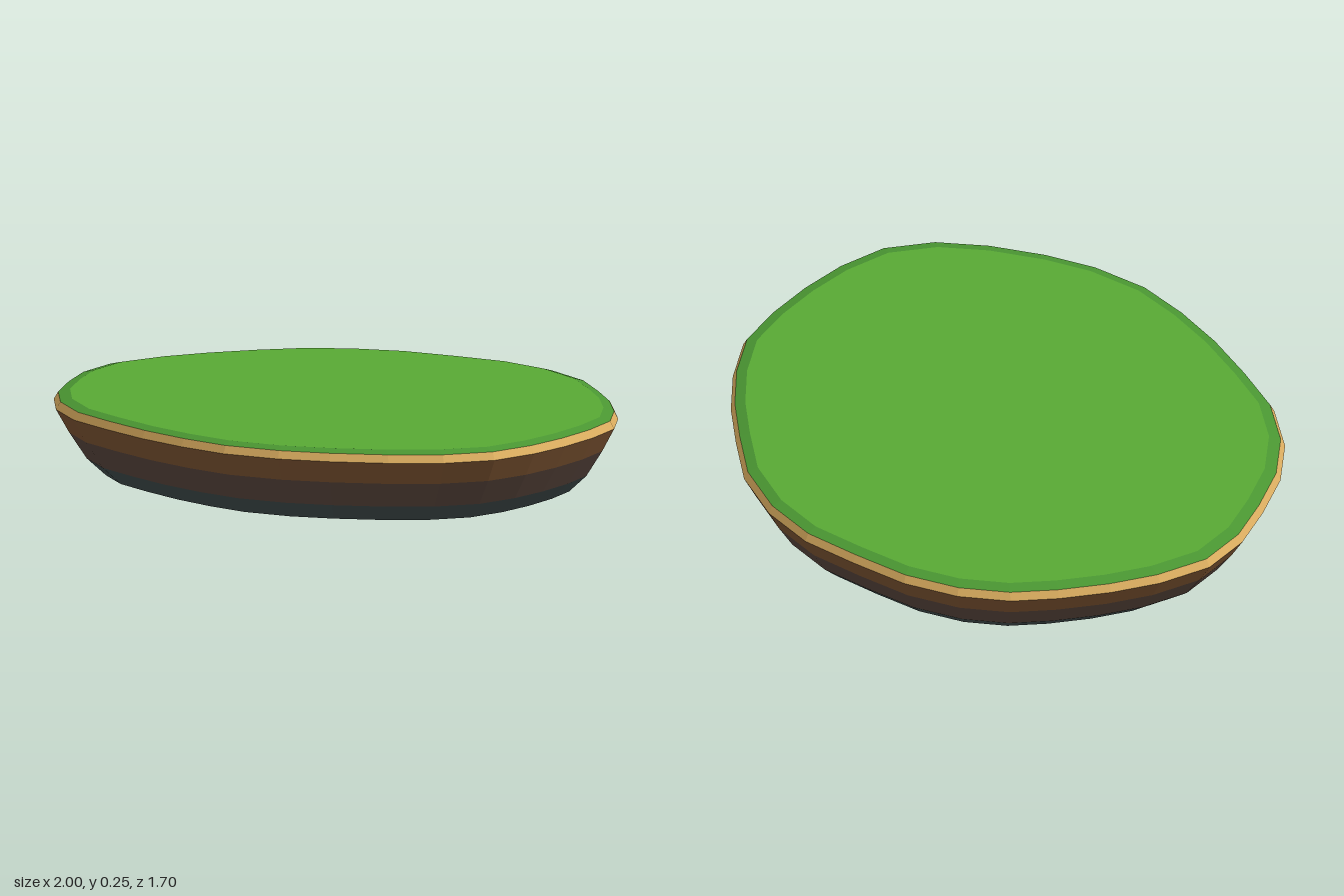
import * as THREE from 'three';

// Shoreline [x, z], clockwise seen from above, starting at the back
const OUTLINE = [
  [-0.01, -0.85], [0.19, -0.82], [0.37, -0.74], [0.53, -0.66],
  [0.68, -0.56], [0.81, -0.44], [0.89, -0.29], [0.95, -0.13],
  [0.99, 0.03], [1.0, 0.2], [0.94, 0.36], [0.83, 0.5],
  [0.69, 0.63], [0.55, 0.73], [0.37, 0.81], [0.19, 0.84],
  [0, 0.85], [-0.2, 0.84], [-0.39, 0.82], [-0.57, 0.75],
  [-0.72, 0.64], [-0.84, 0.5], [-0.94, 0.36], [-1.0, 0.2],
  [-0.99, 0.02], [-0.95, -0.14], [-0.89, -0.3], [-0.82, -0.44],
  [-0.71, -0.57], [-0.56, -0.68], [-0.38, -0.76], [-0.2, -0.83],
];

// Layers from bottom to top, as [height, outline scale]; scale 0 closes a cap
const LAYERS = [
  { name: 'underside', color: 0x333c3c, from: [0, 0], to: [0, 0.83] },
  { name: 'deepRock', color: 0x3e4a4a, from: [0, 0.83], to: [0.055, 0.895] },
  { name: 'clayBand', color: 0x57443b, from: [0.055, 0.895], to: [0.14, 0.955] },
  { name: 'soilBand', color: 0x7a5230, from: [0.14, 0.955], to: [0.215, 1] },
  { name: 'sandRim', color: 0xdcae60, from: [0.215, 1], to: [0.24, 0.985] },
  { name: 'grassEdge', color: 0x4a9632, from: [0.24, 0.985], to: [0.25, 0.945] },
  { name: 'grassTop', color: 0x58a934, from: [0.25, 0.945], to: [0.25, 0] },
];

// Faceted strip between two scaled copies of the outline
function layerGeometry([y0, s0], [y1, s1]) {
  const n = OUTLINE.length;
  const positions = [];
  const point = (i, y, s) => [OUTLINE[i % n][0] * s, y, OUTLINE[i % n][1] * s];
  for (let i = 0; i < n; i++) {
    const a = point(i, y0, s0), b = point(i + 1, y0, s0);
    const c = point(i, y1, s1), d = point(i + 1, y1, s1);
    if (s0 > 0) positions.push(...b, ...a, ...c);
    if (s1 > 0) positions.push(...b, ...c, ...d);
  }
  const geometry = new THREE.BufferGeometry();
  geometry.setAttribute('position', new THREE.Float32BufferAttribute(positions, 3));
  geometry.computeVertexNormals();
  return geometry;
}

export function createModel() {
  const island = new THREE.Group();
  island.name = 'island';
  for (const { name, color, from, to } of LAYERS) {
    const material = new THREE.MeshStandardMaterial({ color, flatShading: true });
    const mesh = new THREE.Mesh(layerGeometry(from, to), material);
    mesh.name = name;
    island.add(mesh);
  }
  return island;
}
